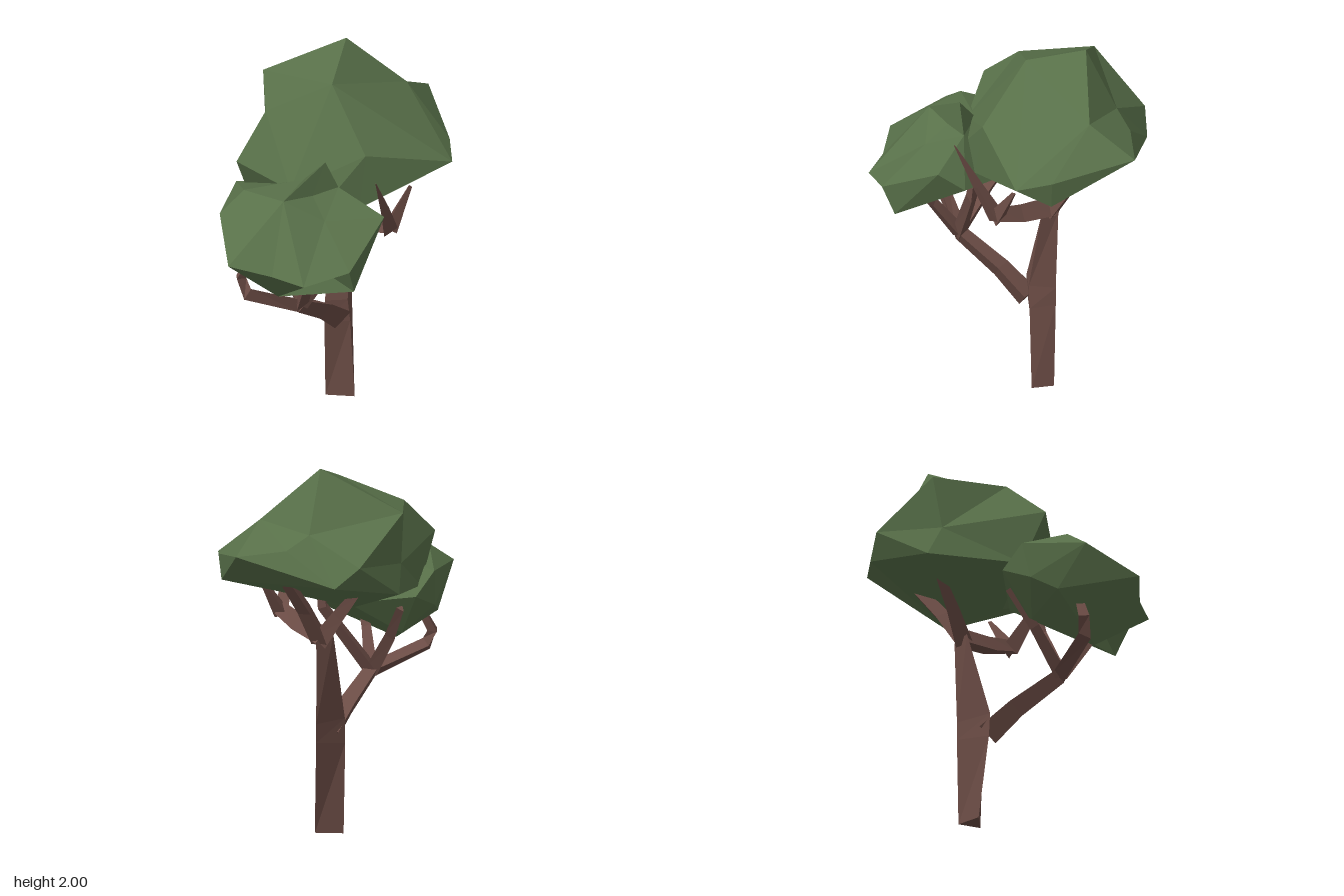
import * as THREE from 'three';
import { ConvexGeometry } from 'three/addons/geometries/ConvexGeometry.js';

const V = (p) => new THREE.Vector3(p[0], p[1], p[2]);

// Faceted solid through a stack of rings, capped at both ends.
function loft(rings) {
  const pos = [];
  const tri = (a, b, c) => pos.push(...a.toArray(), ...b.toArray(), ...c.toArray());
  const n = rings[0].length;
  for (let i = 0; i < rings.length - 1; i++) {
    for (let k = 0; k < n; k++) {
      const j = (k + 1) % n;
      const lo = rings[i], hi = rings[i + 1];
      tri(lo[k], lo[j], hi[j]);
      tri(lo[k], hi[j], hi[k]);
    }
  }
  const first = rings[0], last = rings[rings.length - 1];
  for (let k = 1; k < n - 1; k++) {
    tri(first[0], first[k + 1], first[k]);
    tri(last[0], last[k], last[k + 1]);
  }
  const g = new THREE.BufferGeometry();
  g.setAttribute('position', new THREE.Float32BufferAttribute(pos, 3));
  g.computeVertexNormals();
  return g;
}

// Three-sided tapering branch along [x, y, z, radius] stations.
function limb(stations, sides = 3) {
  const pts = stations.map(V);
  const span = pts[pts.length - 1].clone().sub(pts[0]).normalize();
  const ref = Math.abs(span.x) > 0.7 ? new THREE.Vector3(0, 0, 1) : new THREE.Vector3(1, 0, 0);
  return loft(pts.map((p, i) => {
    const a = pts[Math.max(i - 1, 0)], b = pts[Math.min(i + 1, pts.length - 1)];
    const t = b.clone().sub(a).normalize();
    const u = ref.clone().cross(t).normalize();
    const v = t.clone().cross(u);
    return Array.from({ length: sides }, (_, k) => {
      const ang = (k / sides) * Math.PI * 2;
      return p.clone()
        .addScaledVector(u, Math.cos(ang) * stations[i][3])
        .addScaledVector(v, Math.sin(ang) * stations[i][3]);
    });
  }));
}

// Leaf mass: corners are joined as a hull on a sphere, then moved back out to their places.
function crown(center, corners) {
  const c = V(center);
  const pts = corners.map(V);
  const dirs = pts.map((p) => p.clone().sub(c).normalize());
  const g = new ConvexGeometry(dirs);
  const pos = g.attributes.position;
  const d = new THREE.Vector3();
  for (let i = 0; i < pos.count; i++) {
    d.fromBufferAttribute(pos, i);
    let best = 0;
    dirs.forEach((q, k) => { if (q.distanceTo(d) < dirs[best].distanceTo(d)) best = k; });
    pos.setXYZ(i, pts[best].x, pts[best].y, pts[best].z);
  }
  g.computeVertexNormals();
  return g;
}

export function createModel() {
  const bark = new THREE.MeshStandardMaterial({ color: 0x6b4c45, flatShading: true });
  bark.name = 'bark brown';
  const leaf = new THREE.MeshStandardMaterial({ color: 0x587049, flatShading: true });
  leaf.name = 'leaf green';

  const tree = new THREE.Group();
  tree.name = 'tree';
  const add = (name, geometry, material) => {
    const m = new THREE.Mesh(geometry, material);
    m.name = name;
    tree.add(m);
  };

  // Triangular trunk, swelling forward where the front limb leaves it
  add('trunk', loft([
    [[-0.11, 0, -0.11], [0.04, 0.01, -0.15], [-0.02, 0.02, -0.25]],
    [[-0.09, 0.47, -0.06], [0.025, 0.47, -0.13], [-0.03, 0.5, -0.255]],
    [[-0.085, 0.6, -0.055], [0.015, 0.6, -0.12], [-0.03, 0.6, -0.255]],
    [[-0.09, 1.07, -0.18], [0.01, 1.07, -0.2], [-0.04, 1.05, -0.265]],
  ].map((r) => r.map(V))), bark);

  // Front limb and its twigs
  const fork = [-0.035, 0.78, 0.31];
  const branches = {
    frontLimb: [[-0.02, 0.51, -0.09, 0.07], [-0.03, 0.635, 0.07, 0.058], [...fork, 0.046]],
    outerTwig: [[...fork, 0.044], [-0.24, 0.9, 0.52, 0.04], [-0.28, 0.98, 0.52, 0.034], [-0.23, 1.1, 0.48, 0.025]],
    innerTwig: [[...fork, 0.044], [0.16, 1.13, 0.14, 0.034], [0.17, 1.28, 0.12, 0.02]],
    middleTwig: [[...fork, 0.044], [0.06, 0.98, 0.42, 0.032], [0.15, 1.17, 0.48, 0.02]],
    sideTwig: [[...fork, 0.042], [-0.2, 1.0, 0.22, 0.034], [-0.32, 1.18, 0.12, 0.024]],
    // Upper limbs
    sideLimb: [[-0.06, 1.06, -0.22, 0.06], [0.14, 1.09, -0.13, 0.055], [0.29, 1.14, -0.07, 0.045]],
    sideSpikeFront: [[0.28, 1.12, -0.07, 0.05], [0.305, 1.3, 0.03, 0.03], [0.325, 1.52, 0.155, 0.003]],
    sideSpikeBack: [[0.28, 1.12, -0.07, 0.05], [0.34, 1.33, -0.2, 0.012]],
    backLimb: [[-0.04, 1.04, -0.22, 0.055], [-0.02, 1.22, -0.34, 0.046], [0.01, 1.42, -0.5, 0.036]],
    rightLimb: [[-0.04, 1.04, -0.22, 0.055], [-0.16, 1.19, -0.24, 0.04], [-0.29, 1.34, -0.27, 0.026]],
  };
  for (const [name, stations] of Object.entries(branches)) add(name, limb(stations), bark);

  // Large rear crown
  add('upperCrown', crown([-0.03, 1.52, -0.22], [
    [-0.13, 2, -0.38], [-0.05, 1.9, -0.07], [0.14, 1.73, -0.54],
    [-0.16, 1.68, -0.545], [0.13, 1.58, -0.8], [0.53, 1.47, -0.31],
    [0.43, 1.5, -0.47], [0.21, 1.6, 0.05], [-0.34, 1.76, 0.12],
    [-0.39, 1.56, 0.35], [-0.535, 1.78, -0.22], [-0.5, 1.5, -0.18],
    [-0.47, 1.54, -0.55], [-0.36, 1.43, -0.62], [-0.09, 1.61, -0.66],
    [0.42, 1.36, -0.46], [0.2, 1.31, 0.1], [-0.53, 1.35, -0.25],
    [-0.1, 1.18, 0.02], [-0.38, 1.29, 0.22], [-0.1, 1.44, 0.3],
    [0.12, 1.45, 0.18],
  ]), leaf);

  // Smaller front crown with a raised fold on top
  add('lowerCrown', crown([-0.02, 1.25, 0.38], [
    [-0.2, 1.21, 0.8], [0.02, 1.17, 0.73], [0.2, 1.15, 0.72],
    [0.38, 1.2, 0.55], [0.37, 1.05, 0.48], [0.405, 1.37, 0.21],
    [0.33, 1.27, 0.09], [0.16, 1.38, 0.41], [-0.04, 1.485, 0.49],
    [0.05, 1.465, 0.335], [0.08, 1.63, 0.25], [0.13, 1.47, 0.2],
    [-0.375, 1.36, 0.565], [-0.45, 1.37, 0.24], [-0.3, 1.46, 0.44],
    [-0.06, 1.48, 0.23], [-0.06, 0.92, 0.51], [-0.26, 1.02, 0.23],
    [-0.43, 1.18, 0.28], [-0.37, 1.12, 0.41], [0.18, 1.12, 0.47],
    [-0.05, 1.19, 0.04], [-0.41, 1.25, 0.12],
  ]), leaf);

  return tree;
}
